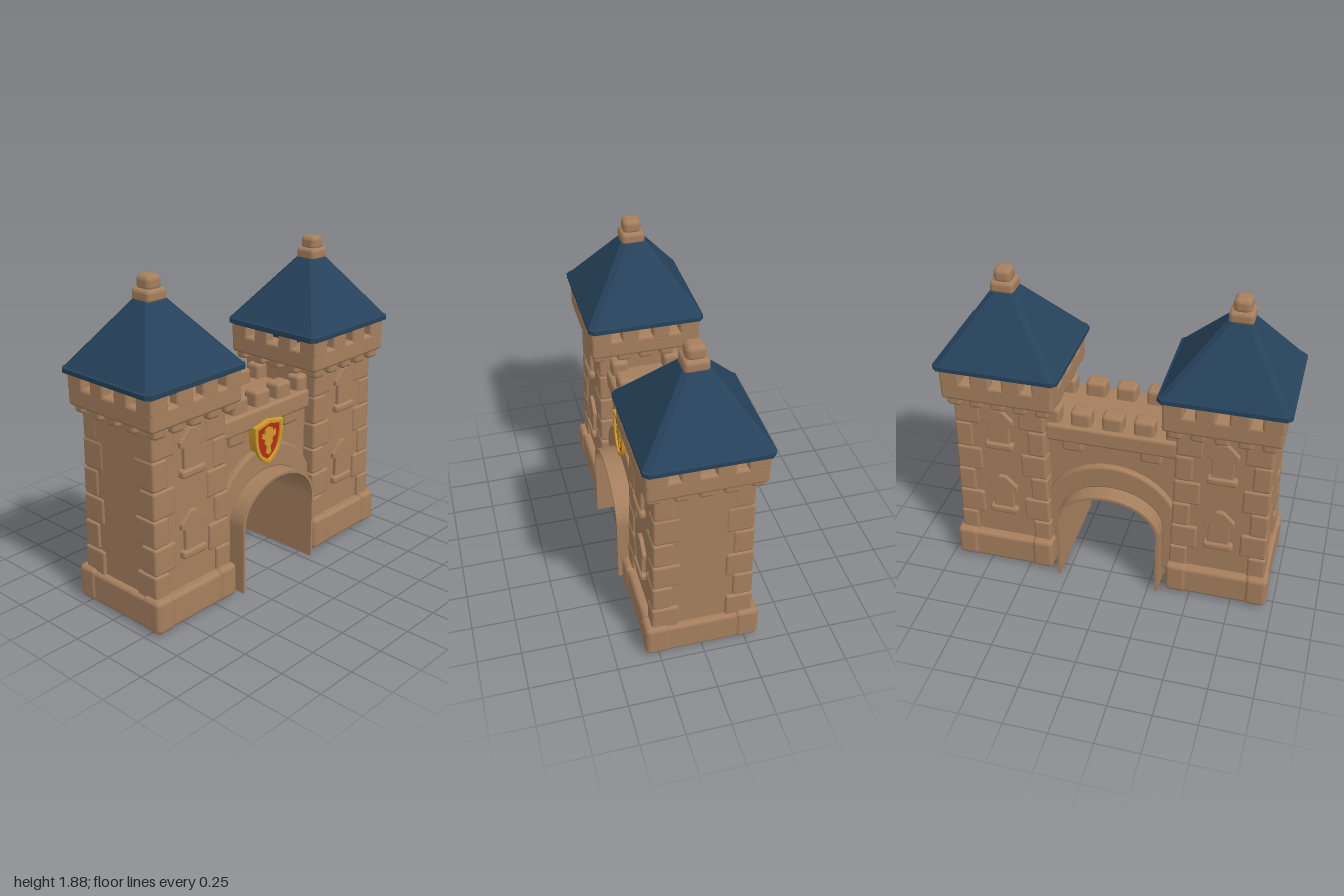
import * as THREE from 'three';
import { RoundedBoxGeometry } from 'three/addons/geometries/RoundedBoxGeometry.js';

const mat = (name, color) => {
  const m = new THREE.MeshStandardMaterial({ color });
  m.name = name;
  return m;
};
const stone = mat('sandstone', 0xa57f5e);
const slate = mat('blue slate', 0x26425b);
const gold = mat('gold', 0xcf9a2c);
const red = mat('red enamel', 0xb52d14);
const glass = mat('amber glass', 0xd0911f);

function add(parent, name, geo, material, x = 0, y = 0, z = 0) {
  const m = new THREE.Mesh(geo, material);
  m.name = name;
  m.position.set(x, y, z);
  parent.add(m);
  return m;
}

// Soft-edged stone block given by its centre and its bottom and top heights
function block(parent, name, x, y0, y1, z, w, d, r = 0.015) {
  return add(parent, name, new RoundedBoxGeometry(w, y1 - y0, d, 2, r), stone, x, (y0 + y1) / 2, z);
}

function group(parent, name) {
  const g = new THREE.Group();
  g.name = name;
  parent.add(g);
  return g;
}

function plate(shape, depth, bevel = 0) {
  return new THREE.ExtrudeGeometry(shape, {
    depth, curveSegments: 20, bevelEnabled: bevel > 0,
    bevelSize: bevel, bevelThickness: bevel, bevelOffset: -bevel, bevelSegments: 2,
  });
}

// Arched outline: straight legs, then a half ellipse
function archPoints(rx, ry, bottom, spring, n = 28) {
  const pts = [new THREE.Vector2(rx, bottom)];
  for (let i = 0; i <= n; i++) {
    const a = (Math.PI * i) / n;
    pts.push(new THREE.Vector2(rx * Math.cos(a), spring + ry * Math.sin(a)));
  }
  pts.push(new THREE.Vector2(-rx, bottom));
  return pts;
}
const archBand = (outer, inner) => new THREE.Shape([...outer, ...inner.slice().reverse()]);

// Roof: chamfered square rings, stepped into overlapping slate courses
function roofGeometry(apexShift) {
  const rings = [[1.345, 0.335, 0.315], [1.36, 0.362, 0.342], [1.385, 0.362, 0.342]];
  const courses = 7;
  for (let i = 0; i < courses; i++) {
    const t0 = i / courses, t1 = (i + 1) / courses;
    const at = (t, out) => [1.39 + 0.365 * t, 0.342 - 0.282 * t + out, 0.33 - 0.27 * t + out];
    rings.push(at(t0, 0.007), at(t1 - 0.015, 0.007));
  }
  const pos = [];
  const loops = rings.map(([y, hx, hz]) => {
    const c = 0.028, cx = apexShift * (y - 1.345) / 0.4;
    return [[hx, hz - c], [hx - c, hz], [-hx + c, hz], [-hx, hz - c],
      [-hx, -hz + c], [-hx + c, -hz], [hx - c, -hz], [hx, -hz + c]]
      .map(([x, z]) => [x + cx, y, z]);
  });
  const tri = (...p) => p.forEach((v) => pos.push(...v));
  for (let k = 0; k + 1 < loops.length; k++) {
    for (let i = 0; i < 8; i++) {
      const j = (i + 1) % 8, a = loops[k], b = loops[k + 1];
      tri(a[i], b[j], a[j]);
      tri(a[i], b[i], b[j]);
    }
  }
  const bottom = loops[0], top = loops[loops.length - 1];
  for (let i = 1; i < 7; i++) {
    tri(bottom[0], bottom[i], bottom[i + 1]);
    tri(top[0], top[i + 1], top[i]);
  }
  const g = new THREE.BufferGeometry();
  g.setAttribute('position', new THREE.Float32BufferAttribute(pos, 3));
  g.computeVertexNormals();
  return g;
}

// Window with gabled hood, sill and amber pane, facing +z
function windowUnit(parent, y, side) {
  const w = group(parent, 'window');
  w.position.y = y;
  w.rotation.y = side > 0 ? 0 : Math.PI;
  const hood = new THREE.Shape([[-0.062, 0.03], [0.062, 0.03], [0.062, 0.165], [0.088, 0.175], [0.088, 0.205],
    [0.035, 0.258], [0.02, 0.272], [-0.02, 0.272], [-0.035, 0.258], [-0.088, 0.205], [-0.088, 0.175], [-0.062, 0.165]]
    .map((p) => new THREE.Vector2(...p)));
  const opening = archPoints(0.043, 0.055, 0.04, 0.165, 10);
  hood.holes.push(new THREE.Path(opening));
  add(w, 'windowFrame', plate(hood, 0.035, 0.006), stone, 0, 0, 0.25);
  add(w, 'windowPane', plate(new THREE.Shape(opening), 0.006), glass, 0, 0, 0.266);
  block(w, 'windowSill', 0, 0, 0.05, 0.275, 0.175, 0.06, 0.018);
}

function tower(parent, s) {
  const t = group(parent, s > 0 ? 'leftTower' : 'rightTower');
  t.position.x = s * 0.65;

  // Shaft and plinth
  block(t, 'shaft', 0, 0.1, 1.25, 0, 0.535, 0.536);
  block(t, 'plinth', s * 0.005, 0.01, 0.2, 0, 0.595, 0.635, 0.025);
  for (const cx of [-1, 1]) for (const cz of [-1, 1]) {
    block(t, 'plinthCorner', s * 0.005 + cx * 0.24, 0.012, 0.212, cz * 0.26, 0.13, 0.135, 0.028);
    // Alternating corner stones
    const levels = [0.19, 0.34, 0.5, 0.66, 0.82, 0.99, 1.15];
    for (let i = 0; i < 6; i++) {
      const wide = i % 2 === 1, half = 0.284 - i * 0.003;
      const w = wide ? 0.155 : 0.105, d = wide ? 0.115 : 0.155;
      block(t, 'cornerStone', cx * (half - w / 2), levels[i], levels[i + 1], cz * (half + 0.004 - d / 2), w, d);
    }
  }
  for (const side of [1, -1]) for (const y of [0.373, 0.845]) windowUnit(t, y, side);

  // Battlement: corbels, parapet and merlons around all four sides
  const top = group(t, 'battlement');
  top.position.x = -s * 0.014;
  block(top, 'parapet', 0, 1.17, 1.285, 0, 0.66, 0.65, 0.02);
  for (let i = -2; i <= 2; i++) for (const e of [-1, 1]) {
    block(top, 'corbel', i * 0.13, 1.125, 1.2, e * 0.277, 0.085, 0.075, 0.02);
    if (Math.abs(i) < 2) block(top, 'corbel', e * 0.277, 1.125, 1.2, i * 0.13, 0.075, 0.085, 0.02);
  }
  for (const e of [-1, 1]) {
    for (const f of [-1, 1]) {
      block(top, 'cornerMerlon', e * 0.27, 1.26, 1.365, f * 0.265, 0.12, 0.12);
      block(top, 'merlon', f * 0.0925, 1.26, 1.365, e * 0.292, 0.115, 0.066);
      block(top, 'merlon', e * 0.297, 1.26, 1.365, f * 0.0925, 0.066, 0.105);
    }
  }
  add(top, 'roofSupport', new THREE.BoxGeometry(0.44, 0.1, 0.2), slate, 0, 1.32, 0);

  // Roof and finial
  add(t, 'roof', roofGeometry(s * 0.02), slate, -s * 0.013, 0, 0);
  block(t, 'finialBase', s * 0.01, 1.735, 1.81, 0, 0.138, 0.138, 0.025);
  block(t, 'finialKnob', s * 0.01, 1.79, 1.88, 0, 0.102, 0.108, 0.032);
}

function gate(parent) {
  const g = group(parent, 'gate');
  const inner = archPoints(0.295, 0.225, 0, 0.41);
  const lining = archPoints(0.312, 0.24, 0, 0.41);

  // Wall over the passage, thin passage lining and raised arch ring
  const wall = [[0.39, 0.02], [0.39, 0.96], [-0.39, 0.96], [-0.39, 0.02]].map((p) => new THREE.Vector2(...p));
  add(g, 'gateWall', plate(archBand(wall, archPoints(0.303, 0.232, 0.02, 0.41)), 0.4), stone, 0, 0, -0.2);
  add(g, 'passageLining', plate(archBand(lining, inner), 0.68), stone, 0, 0, -0.34);
  const ring = archBand(archPoints(0.41, 0.385, 0.1, 0.41), archPoints(0.305, 0.235, 0.1, 0.41));
  add(g, 'archRing', plate(ring, 0.448, 0.012), stone, 0, 0, -0.224);

  // Walkway, ledges, merlons and small corbels on both faces
  block(g, 'walkway', 0, 0.92, 1.035, 0, 0.78, 0.46, 0.02);
  for (const e of [-1, 1]) {
    for (let i = -2; i <= 2; i++) block(g, 'gateMerlon', i * 0.184, 1.0, 1.125, e * 0.158, 0.122, 0.1, 0.022);
    for (const x of [-0.23, 0.23]) block(g, 'gateCorbel', x, 0.86, 0.94, e * 0.2, 0.13, 0.05, 0.02);
  }
}

// Heater shield outline scaled about its centre
function shieldShape(k) {
  const s = new THREE.Shape();
  s.moveTo(0, -0.14 * k);
  s.bezierCurveTo(0.09 * k, -0.1 * k, 0.12 * k, -0.04 * k, 0.12 * k, 0.11 * k);
  s.quadraticCurveTo(0.06 * k, 0.12 * k, 0, 0.135 * k);
  s.quadraticCurveTo(-0.06 * k, 0.12 * k, -0.12 * k, 0.11 * k);
  s.bezierCurveTo(-0.12 * k, -0.04 * k, -0.09 * k, -0.1 * k, 0, -0.14 * k);
  return s;
}

function shield(parent) {
  const g = group(parent, 'shield');
  g.position.set(0, 0.827, 0.2);
  const rim = shieldShape(1);
  rim.holes.push(new THREE.Path(shieldShape(0.8).getPoints(20)));
  add(g, 'shieldRim', plate(rim, 0.05, 0.005), gold, 0, 0, 0);
  add(g, 'shieldField', plate(shieldShape(0.84), 0.042), red);
  // Simple upright ornament
  const half = [[0, -0.085], [0.022, -0.07], [0.014, -0.035], [0.034, -0.012], [0.03, 0.012],
    [0.062, 0.028], [0.058, 0.058], [0.034, 0.045], [0.032, 0.075], [0, 0.088]];
  const left = half.slice(1, -1).reverse().map(([x, y]) => [-x * 0.9, y]);
  const charge = new THREE.Shape([...half, ...left].map((p) => new THREE.Vector2(...p)));
  add(g, 'shieldOrnament', plate(charge, 0.008), gold, 0, 0, 0.042);
}

export function createModel() {
  const model = new THREE.Group();
  model.name = 'castleGate';
  for (const s of [1, -1]) tower(model, s);
  gate(model);
  shield(model);
  return model;
}
